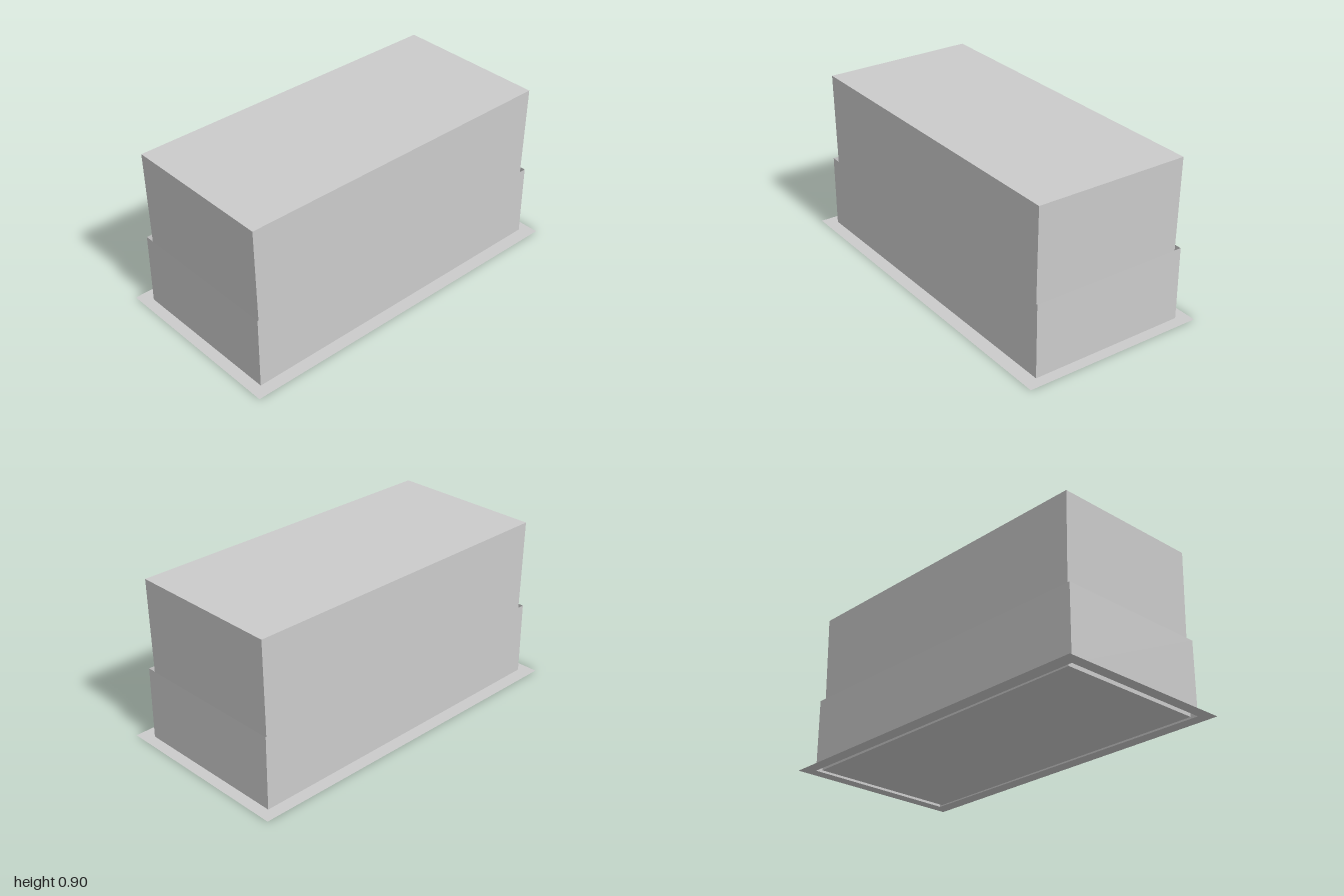
import * as THREE from 'three';

const HEIGHT = 0.9;       // top of the inner box
const WALL_HEIGHT = 0.405; // top of the outer sleeve
const WALL_X = 0.938, WALL_Z = 0.44;
const TWIST = 0.004;      // the sleeve sits very slightly askew

const grey = new THREE.MeshStandardMaterial({ color: 0xcccccc });
const sheet = new THREE.MeshStandardMaterial({ color: 0xcccccc, side: THREE.DoubleSide });

// Closed box, a little narrower at its foot
function innerBox() {
  const geometry = new THREE.BoxGeometry(1, HEIGHT, 1).translate(0, HEIGHT / 2, 0);
  const p = geometry.attributes.position;
  for (let i = 0; i < p.count; i++) {
    const t = p.getY(i) / HEIGHT;
    p.setX(i, p.getX(i) * 2 * THREE.MathUtils.lerp(0.908, 0.926, t));
    p.setZ(i, p.getZ(i) * 2 * THREE.MathUtils.lerp(0.423, 0.426, t));
  }
  geometry.computeVertexNormals();
  const mesh = new THREE.Mesh(geometry, grey);
  mesh.name = 'innerBox';
  return mesh;
}

// Four thin walls, open above and below
function sleeve() {
  const group = new THREE.Group();
  group.name = 'outerSleeve';
  const names = ['frontWall', 'leftWall', 'backWall', 'rightWall'];
  names.forEach((name, i) => {
    const alongX = i % 2 === 0;
    const width = 2 * (alongX ? WALL_X : WALL_Z);
    const geometry = new THREE.PlaneGeometry(width, WALL_HEIGHT)
      .translate(0, WALL_HEIGHT / 2, alongX ? WALL_Z : WALL_X)
      .rotateY(i * Math.PI / 2);
    const wall = new THREE.Mesh(geometry, sheet);
    wall.name = name;
    group.add(wall);
  });
  group.rotation.y = TWIST;
  return group;
}

// Flat rim on the ground, its opening matching the sleeve
function rim() {
  const corners = (x, z) => [[-x, -z], [x, -z], [x, z], [-x, z]].map(([a, b]) => new THREE.Vector2(a, b));
  const shape = new THREE.Shape(corners(1, 0.512));
  const opening = corners(WALL_X, WALL_Z).map(c => c.rotateAround(new THREE.Vector2(), TWIST));
  shape.holes.push(new THREE.Path(opening.reverse()));
  const mesh = new THREE.Mesh(new THREE.ShapeGeometry(shape).rotateX(-Math.PI / 2), sheet);
  mesh.name = 'groundRim';
  return mesh;
}

export function createModel() {
  const model = new THREE.Group();
  model.name = 'sleevedBox';
  model.add(innerBox(), sleeve(), rim());
  return model;
}
